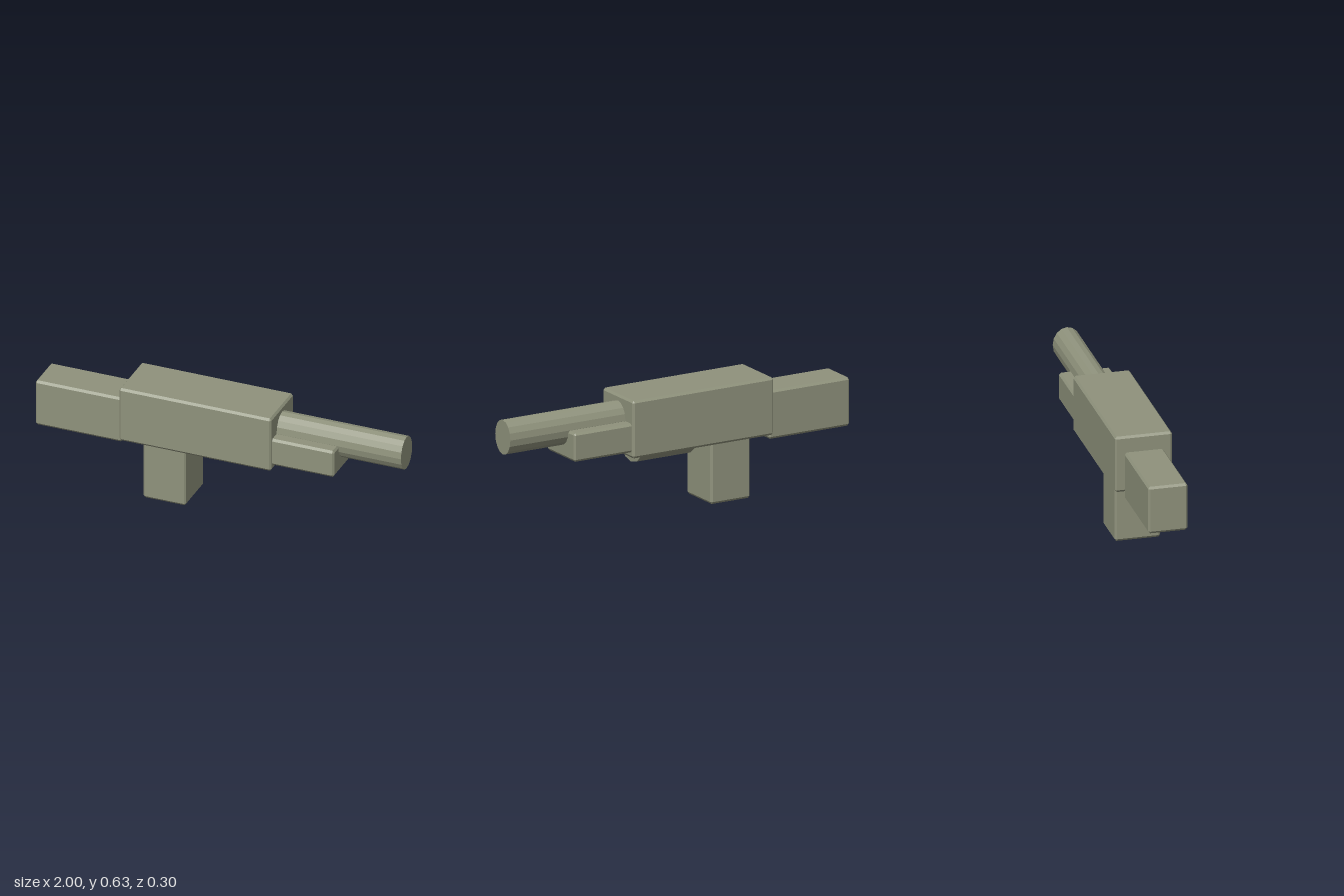
import * as THREE from 'three';
import { ConvexGeometry } from 'three/addons/geometries/ConvexGeometry.js';

// Box with chamfered edges, given as [min, max] on each axis
function chamferBox(x, y, z) {
  const bevel = [0.009, 0.012, 0.01];
  const ranges = [x, y, z];
  const points = [];
  for (const i of [0, 1]) for (const j of [0, 1]) for (const k of [0, 1]) {
    const side = [i, j, k];
    // each corner becomes three points, each lying on one of the outer faces
    for (let face = 0; face < 3; face++) {
      const p = ranges.map((r, a) => r[side[a]] + (a === face ? 0 : (side[a] ? -1 : 1) * bevel[a]));
      points.push(new THREE.Vector3(...p));
    }
  }
  return new ConvexGeometry(points);
}

// Sixteen-sided oval cylinder lying along x
function ovalTube(x0, x1, y, ry, rz) {
  return new THREE.CylinderGeometry(1, 1, x1 - x0, 16)
    .rotateZ(-Math.PI / 2)
    .scale(1, ry, rz)
    .translate((x0 + x1) / 2, y, 0);
}

export function createModel() {
  const model = new THREE.Group();
  model.name = 'toyBlaster';
  const olive = new THREE.MeshStandardMaterial({ color: 0x8f927c, flatShading: true });
  olive.name = 'oliveGrey';

  const add = (name, geometry) => {
    const mesh = new THREE.Mesh(geometry, olive);
    mesh.name = name;
    model.add(mesh);
  };

  // Boxy parts
  add('body', chamferBox([-0.52, 0.316], [0.322, 0.627], [-0.15, 0.15]));
  add('stock', chamferBox([-1, -0.522], [0.286, 0.543], [-0.103, 0.103]));
  add('grip', chamferBox([-0.4, -0.166], [0, 0.345], [-0.12, 0.12]));
  add('foreEnd', chamferBox([0.3, 0.655], [0.352, 0.504], [-0.135, 0.135]));

  // Round parts
  add('barrel', ovalTube(0.3, 1, 0.505, 0.091, 0.074));
  add('drum', ovalTube(-0.082, 0.238, 0.432, 0.172, 0.14));

  return model;
}
